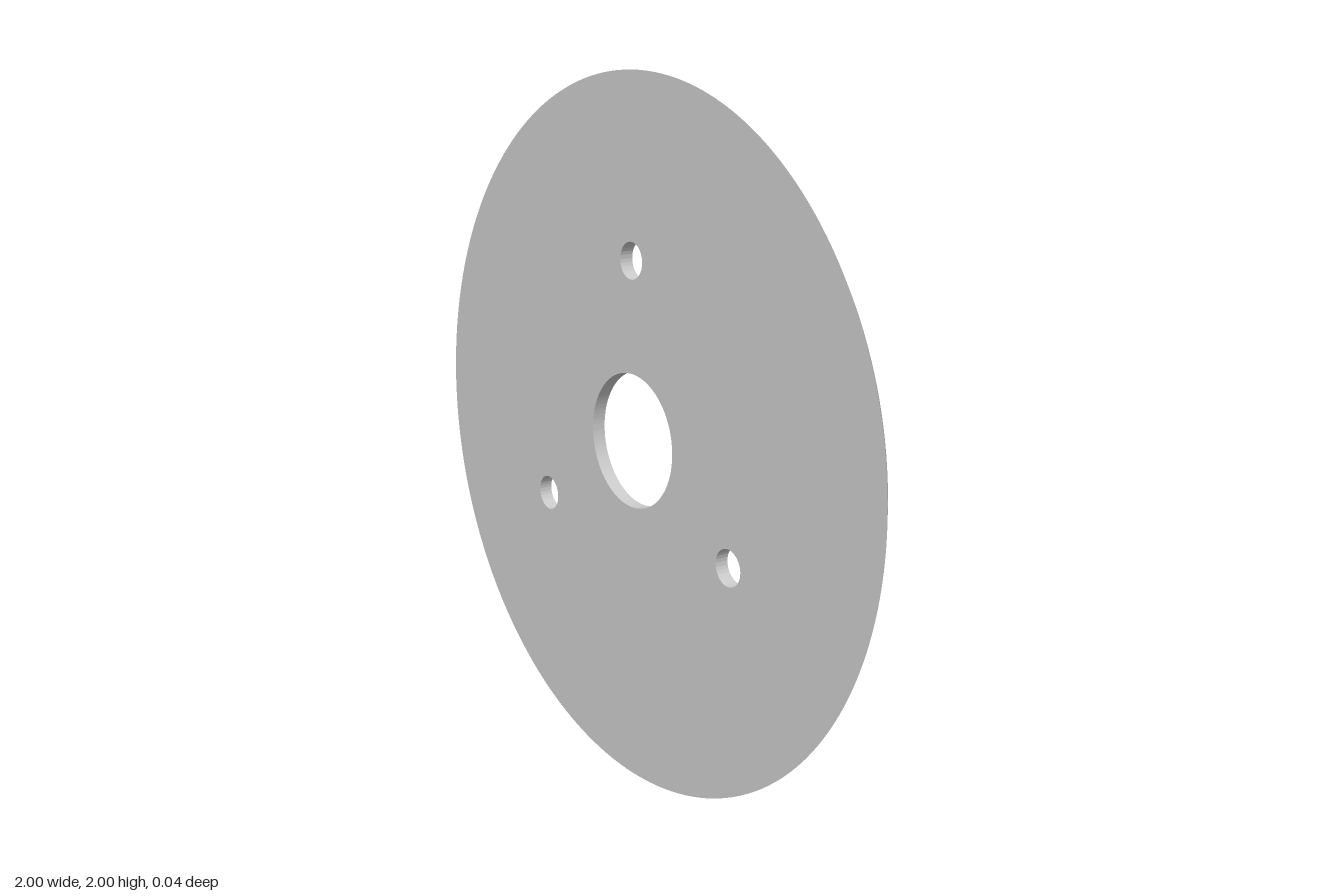
import * as THREE from 'three';
import { toCreasedNormals } from 'three/addons/utils/BufferGeometryUtils.js';

const RADIUS = 1, BACK_RADIUS = 0.96, THICKNESS = 0.04;
const BORE_RADIUS = 0.19, BOLT_RADIUS = 0.051, BOLT_CIRCLE = 0.5, BOLTS = 3;

function circle(x, y, r, PathType = THREE.Path) {
  return new PathType().absarc(x, y, r, 0, Math.PI * 2, false);
}

export function createModel() {
  const group = new THREE.Group();
  group.name = 'bevelledDisc';

  // Disc outline with the centre bore and evenly spaced bolt holes
  const outline = circle(0, 0, RADIUS, THREE.Shape);
  outline.holes.push(circle(0, 0, BORE_RADIUS));
  for (let i = 0; i < BOLTS; i++) {
    const a = Math.PI / 2 + (i * Math.PI * 2) / BOLTS;
    outline.holes.push(circle(BOLT_CIRCLE * Math.cos(a), BOLT_CIRCLE * Math.sin(a), BOLT_RADIUS));
  }
  const geometry = new THREE.ExtrudeGeometry(outline, {
    depth: THICKNESS, bevelEnabled: false, curveSegments: 96,
  });
  geometry.translate(0, 0, -THICKNESS / 2);

  // Pull in the back rim to chamfer the outer edge
  const p = geometry.attributes.position;
  for (let i = 0; i < p.count; i++) {
    const r = Math.hypot(p.getX(i), p.getY(i));
    if (p.getZ(i) < 0 && r > 0.9) {
      p.setXY(i, (p.getX(i) * BACK_RADIUS) / r, (p.getY(i) * BACK_RADIUS) / r);
    }
  }

  const disc = new THREE.Mesh(
    toCreasedNormals(geometry, Math.PI / 6),
    new THREE.MeshStandardMaterial({ color: 0xcccccc }),
  );
  disc.name = 'disc';
  disc.position.y = RADIUS;
  group.add(disc);
  return group;
}
